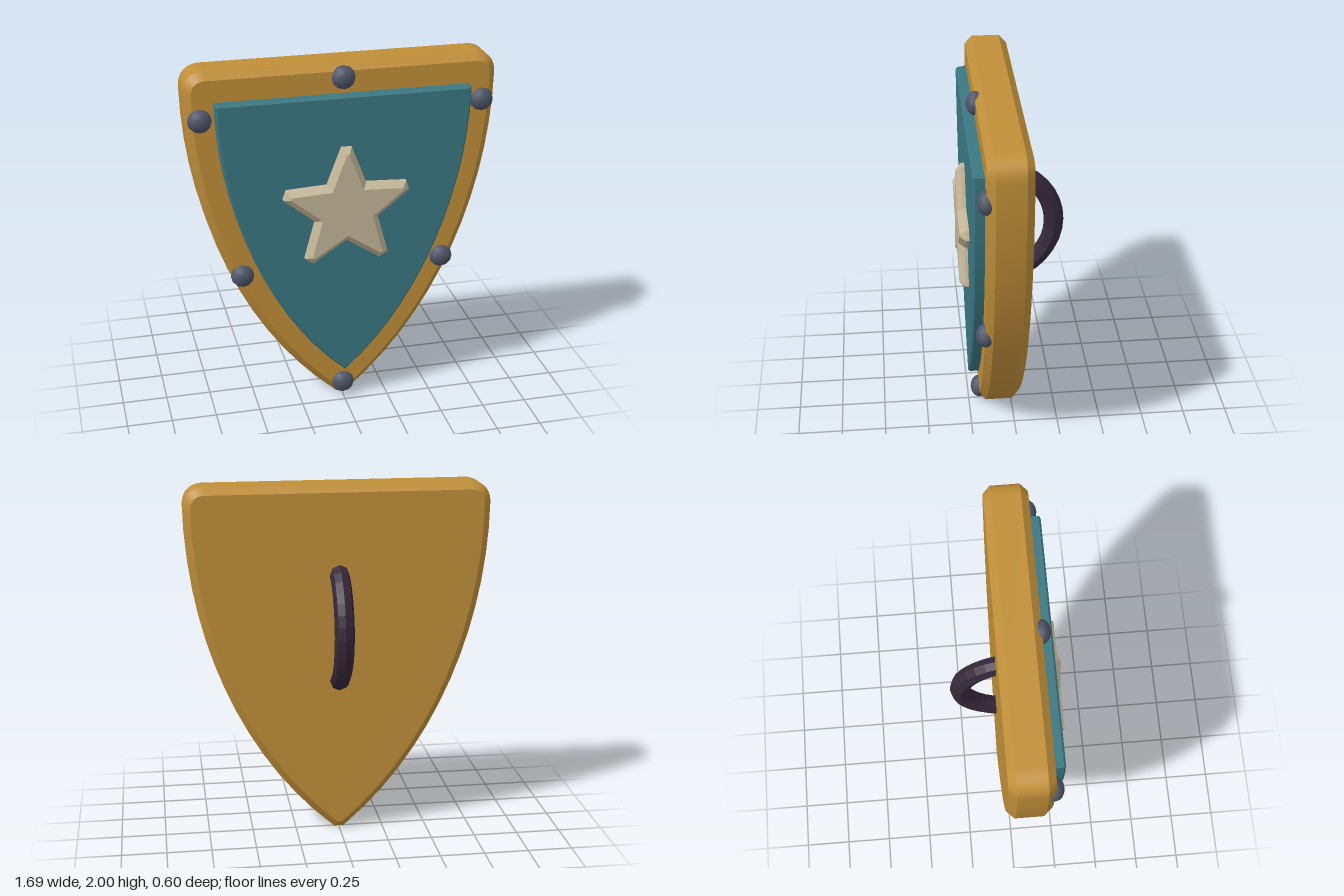
import * as THREE from 'three';
import { toCreasedNormals } from 'three/addons/utils/BufferGeometryUtils.js';

const material = (name, color, extra = {}) => {
  const m = new THREE.MeshStandardMaterial({ color, ...extra });
  m.name = name;
  return m;
};

// Bevelled plate whose outer faces lie at zBack and zFront
function plate(shape, zBack, zFront, bevel, curveSegments) {
  const geo = new THREE.ExtrudeGeometry(shape, {
    depth: zFront - zBack - 2 * bevel,
    bevelEnabled: true, bevelSegments: 1, bevelSize: bevel, bevelThickness: bevel,
    curveSegments,
  });
  geo.translate(0, 0, zBack + bevel);
  return toCreasedNormals(geo, 0.45);
}

// Body face outline: flat top, rounded shoulders, curved sides, blunt tip
function bodyShape() {
  const s = new THREE.Shape();
  s.moveTo(0.012, 0.04);
  s.bezierCurveTo(0.54, 0.49, 0.805, 1.22, 0.805, 1.88);
  s.quadraticCurveTo(0.805, 1.96, 0.725, 1.96);
  s.lineTo(-0.725, 1.96);
  s.quadraticCurveTo(-0.805, 1.96, -0.805, 1.88);
  s.bezierCurveTo(-0.805, 1.22, -0.54, 0.49, -0.012, 0.04);
  s.closePath();
  return s;
}

// Panel outline: square top corners and a pointed tip
function panelShape() {
  const s = new THREE.Shape();
  s.moveTo(0, 0.208);
  s.bezierCurveTo(0.42, 0.57, 0.68, 1.25, 0.68, 1.83);
  s.lineTo(-0.68, 1.83);
  s.bezierCurveTo(-0.68, 1.25, -0.42, 0.57, 0, 0.208);
  return s;
}

// Five-pointed star with slightly blunt tips
function starShape(cy, outer, inner, tip) {
  const pts = [];
  for (let i = 0; i < 5; i++) {
    const a = Math.PI / 2 + (i * 2 * Math.PI) / 5;
    const b = a + Math.PI / 5;
    for (const side of [-1, 1]) {
      pts.push(new THREE.Vector2(
        outer * Math.cos(a) - side * tip * Math.sin(a),
        cy + outer * Math.sin(a) + side * tip * Math.cos(a)));
    }
    pts.push(new THREE.Vector2(inner * Math.cos(b), cy + inner * Math.sin(b)));
  }
  return new THREE.Shape(pts);
}

export function createModel() {
  const gold = material('gold', 0xc08f38);
  const teal = material('teal', 0x3a7883);
  const cream = material('cream', 0xc6b899);
  const steel = material('steel', 0x4f566a);
  const leather = material('dark leather', 0x35283a, { flatShading: true });

  const group = new THREE.Group();
  group.name = 'shield';
  const add = (name, geo, mat) => {
    const mesh = new THREE.Mesh(geo, mat);
    mesh.name = name;
    group.add(mesh);
    return mesh;
  };

  add('body', plate(bodyShape(), -0.045, 0.19, 0.04, 14), gold);
  add('frontPanel', plate(panelShape(), 0.15, 0.25, 0.01, 14), teal);
  add('star', plate(starShape(1.205, 0.325, 0.145, 0.006), 0.2, 0.3, 0.032, 1), cream);

  // Flattened rivets around the rim
  const rivetGeo = new THREE.SphereGeometry(0.065, 12, 8);
  rivetGeo.rotateX(Math.PI / 2);
  rivetGeo.scale(1, 1, 0.77);
  const rivets = [[0, 1.925], [0.765, 1.745], [-0.765, 1.745],
    [0.565, 0.83], [-0.565, 0.83], [0, 0.085]];
  for (const [x, y] of rivets) add('rivet', rivetGeo, steel).position.set(x, y, 0.187);

  // Half-ring grip on the back, its ends sunk into the body
  const grip = new THREE.TorusGeometry(0.33, 0.055, 8, 18, Math.PI);
  grip.rotateX(-Math.PI / 2);
  grip.rotateZ(Math.PI / 2);
  add('handle', grip, leather).position.set(0, 1.2, 0.088);

  return group;
}
